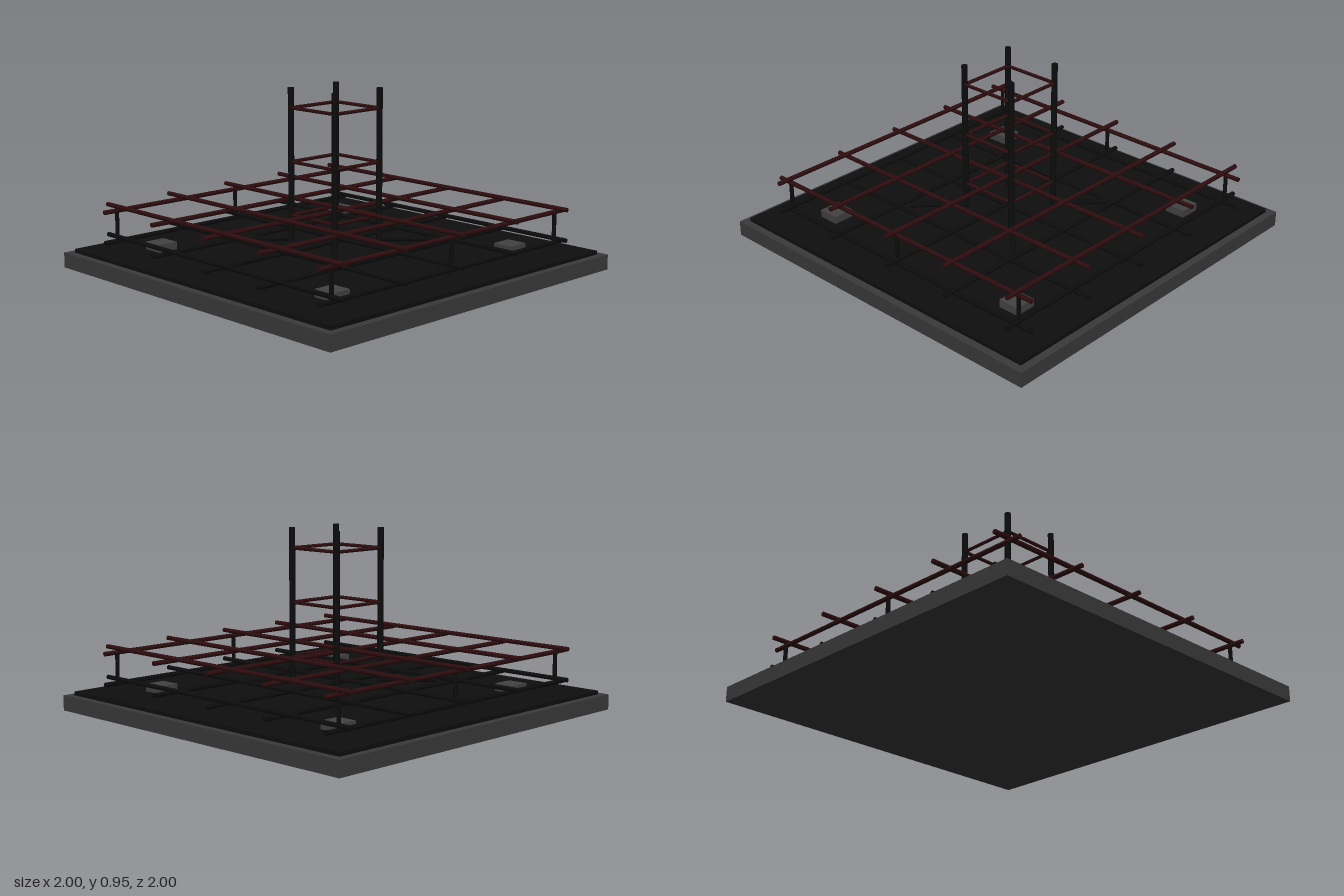
import * as THREE from 'three';

const material = (name, color) => {
  const m = new THREE.MeshStandardMaterial({ color });
  m.name = name;
  return m;
};

export function createModel() {
  const model = new THREE.Group();
  model.name = 'reinforcedFooting';

  const concrete = material('concrete grey', 0x3a3a3a);
  const spacerGrey = material('spacer grey', 0x424242);
  const membrane = material('membrane black', 0x0e0e0e);
  const blackSteel = material('black steel', 0x0c0c0c);
  const redSteel = material('dark red steel', 0x2e0c0e);

  const group = (name) => {
    const g = new THREE.Group();
    g.name = name;
    model.add(g);
    return g;
  };

  const box = (parent, name, mat, w, h, d, x, y, z) => {
    const mesh = new THREE.Mesh(new THREE.BoxGeometry(w, h, d), mat);
    mesh.name = name;
    mesh.position.set(x, y, z);
    parent.add(mesh);
  };

  // Round bar between two points
  const bar = (parent, name, mat, radius, from, to) => {
    const a = new THREE.Vector3(...from);
    const b = new THREE.Vector3(...to);
    const dir = b.clone().sub(a);
    const mesh = new THREE.Mesh(new THREE.CylinderGeometry(radius, radius, dir.length(), 10), mat);
    mesh.name = name;
    mesh.position.copy(a).add(b).multiplyScalar(0.5);
    mesh.quaternion.setFromUnitVectors(new THREE.Vector3(0, 1, 0), dir.normalize());
    parent.add(mesh);
  };

  // Slab and the thin sheet on it
  box(model, 'baseSlab', concrete, 2, 0.08, 2, 0, 0.04, 0);
  box(model, 'topSheet', membrane, 1.92, 0.02, 1.92, 0, 0.09, 0);

  // Spacer blocks under the lower mat
  const spacers = group('spacerBlocks');
  for (const x of [-0.64, 0.64])
    for (const z of [-0.64, 0.64])
      box(spacers, 'spacerBlock', spacerGrey, 0.115, 0.04, 0.115, x, 0.12, z);

  // Two bar mats, the z bars resting on the x bars
  const mat = (name, steel, y) => {
    const g = group(name);
    for (let i = -2; i <= 2; i++) {
      const p = i * 0.4;
      bar(g, 'crossBar', steel, 0.012, [-0.88, y, p], [0.88, y, p]);
      bar(g, 'lengthBar', steel, 0.012, [p, y + 0.022, -0.88], [p, y + 0.022, 0.88]);
    }
  };
  mat('lowerMat', blackSteel, 0.144);
  mat('upperMat', redSteel, 0.305);

  // Short uprights holding the upper mat
  const supports = group('matSupports');
  for (const x of [-0.8, 0, 0.8])
    for (const z of [-0.8, 0.8])
      bar(supports, 'matSupport', blackSteel, 0.011, [x, 0.145, z], [x, 0.315, z]);

  // Column bars with feet turned outwards on the diagonal
  const column = group('columnCage');
  const c = 0.16;
  for (const sx of [-1, 1])
    for (const sz of [-1, 1]) {
      bar(column, 'columnBar', blackSteel, 0.016, [sx * c, 0.15, sz * c], [sx * c, 0.95, sz * c]);
      bar(column, 'columnFoot', blackSteel, 0.014, [sx * c, 0.161, sz * c], [sx * 0.365, 0.161, sz * 0.365]);
    }

  // Square ties around the column
  for (const y of [0.285, 0.565, 0.845])
    for (const s of [-c, c]) {
      bar(column, 'columnTie', redSteel, 0.009, [-c, y, s], [c, y, s]);
      bar(column, 'columnTie', redSteel, 0.009, [s, y, -c], [s, y, c]);
    }

  return model;
}
